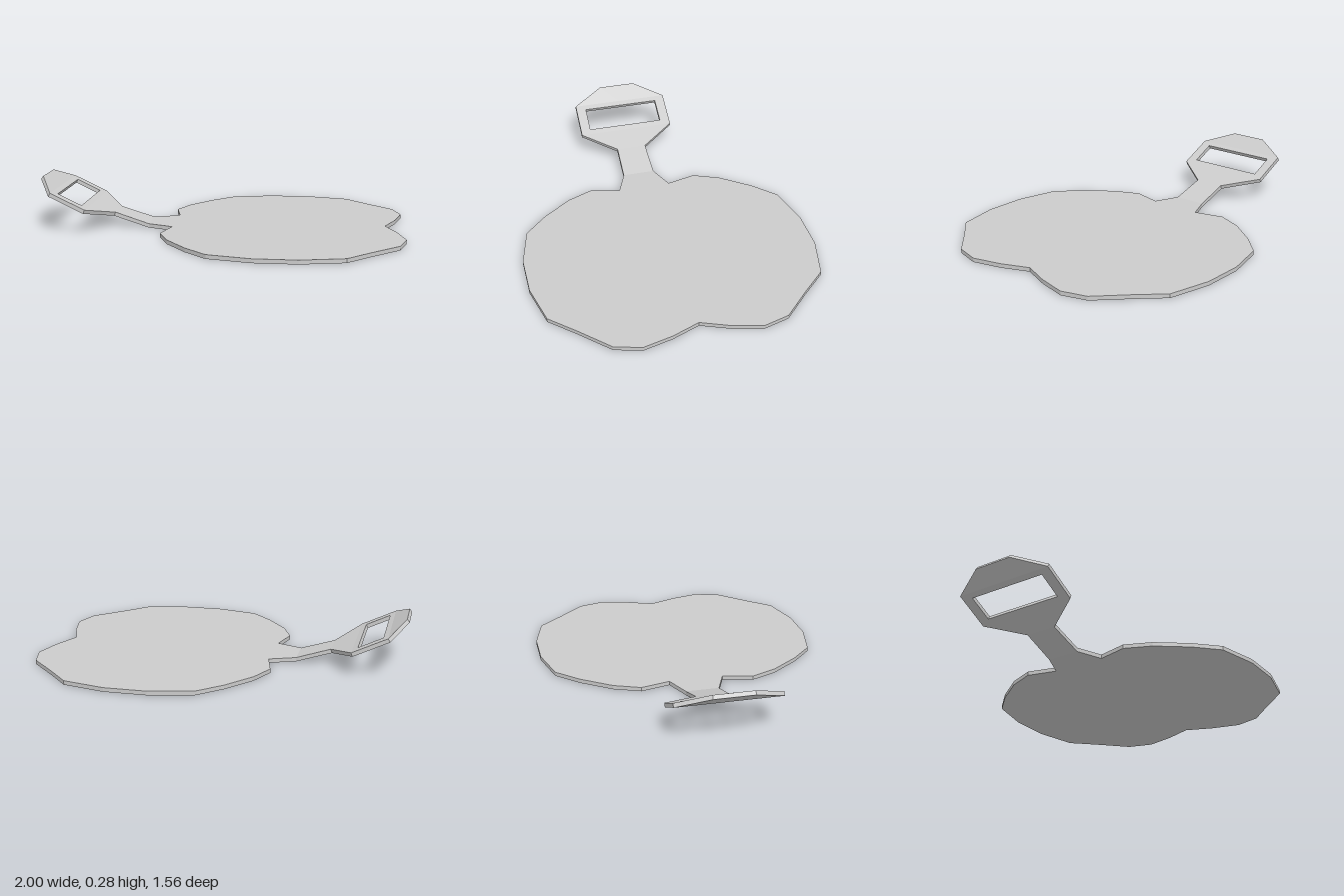
import * as THREE from 'three';

const THICK = 0.022;

function makeMesh(name, geometry) {
  const material = new THREE.MeshStandardMaterial({ color: 0xcccccc, flatShading: true });
  const mesh = new THREE.Mesh(geometry, material);
  mesh.name = name;
  return mesh;
}

// Flat plate: half outline in (x, z), mirrored across z = 0
function plateGeometry() {
  const half = [
    [0.96, 0.15], [1, 0.31], [0.96, 0.45], [0.81, 0.6], [0.69, 0.728], [0.46, 0.782],
    [0.23, 0.782], [0, 0.728], [-0.12, 0.61], [-0.24, 0.45], [-0.3, 0.308],
    [-0.26, 0.147], [-0.4, 0.09],
  ];
  const mirrored = half.map(([x, z]) => [x, -z]).reverse();
  const outline = [[0.9, 0], ...half, ...mirrored].map(([x, z]) => new THREE.Vector2(x, z));
  const geometry = new THREE.ExtrudeGeometry(new THREE.Shape(outline), { depth: THICK, bevelEnabled: false });
  geometry.rotateX(Math.PI / 2);
  geometry.translate(0, THICK, 0);
  return geometry;
}

// Bent handle: cross-sections along -x, an inner half-width above 0 opens the slot
function handleGeometry() {
  const stations = [
    // x, underside y, slope, inner half-width, outer half-width
    [-0.4, 0, 0, 0, 0.09],
    [-0.595, 0.061, 0.35, 0, 0.085],
    [-0.725, 0.11, 0.42, 0, 0.275],
    [-0.755, 0.124, 0.47, 0, 0.275],
    [-0.755, 0.124, 0.47, 0.218, 0.275],
    [-0.885, 0.186, 0.47, 0.218, 0.275],
    [-0.885, 0.186, 0.47, 0, 0.275],
    [-0.915, 0.2, 0.58, 0, 0.275],
    [-1, 0.264, 0.72, 0, 0.105],
  ];
  const positions = [];
  const addTriangle = (a, b, c) => {
    if (new THREE.Triangle(a, b, c).getArea() > 1e-8) {
      for (const p of [a, b, c]) positions.push(p.x, p.y, p.z);
    }
  };

  for (const side of [1, -1]) {
    const addQuad = (a, b, c, d) => {
      const [p, q, r, s] = side > 0 ? [a, b, c, d] : [d, c, b, a];
      addTriangle(p, q, r);
      addTriangle(p, r, s);
    };
    const rings = stations.map(([x, y, slope, inner, outer]) => {
      const k = THICK / Math.hypot(slope, 1);
      const top = (z) => new THREE.Vector3(x + slope * k, y + k, z * side);
      const bottom = (z) => new THREE.Vector3(x, y, z * side);
      return [top(inner), top(outer), bottom(outer), bottom(inner)];
    });
    for (let i = 0; i < rings.length - 1; i++) {
      const r = rings[i], n = rings[i + 1];
      const hasSlot = stations[i][3] > 0 || stations[i + 1][3] > 0;
      for (let j = 0; j < (hasSlot ? 4 : 3); j++) {
        const k = (j + 1) % 4;
        addQuad(r[j], n[j], n[k], r[k]);
      }
    }
    // Tip edge
    const [a, b, c, d] = rings[rings.length - 1];
    addQuad(a, d, c, b);
  }

  const geometry = new THREE.BufferGeometry();
  geometry.setAttribute('position', new THREE.Float32BufferAttribute(positions, 3));
  geometry.computeVertexNormals();
  return geometry;
}

export function createModel() {
  const model = new THREE.Group();
  model.name = 'flatPaddle';
  model.add(makeMesh('plate', plateGeometry()));
  model.add(makeMesh('slottedHandle', handleGeometry()));
  return model;
}
